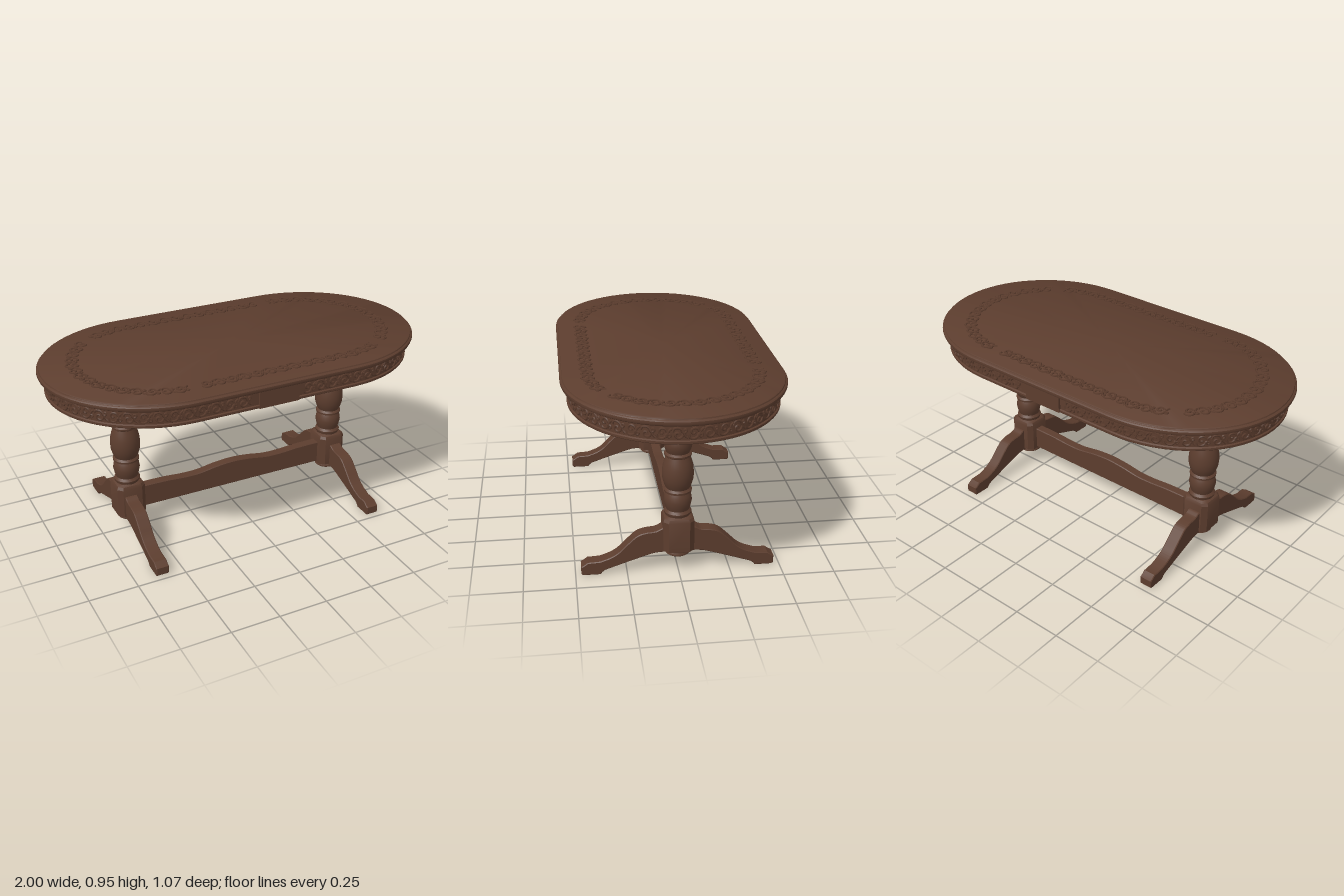
import * as THREE from 'three';
import { mergeGeometries, toCreasedNormals } from 'three/addons/utils/BufferGeometryUtils.js';

const wood = new THREE.MeshStandardMaterial({ color: 0x5c3d2e });
wood.name = 'brown wood';

function part(name, geometry, parent, x = 0, y = 0, z = 0) {
  const mesh = new THREE.Mesh(geometry, wood);
  mesh.name = name;
  mesh.position.set(x, y, z);
  parent.add(mesh);
  return mesh;
}

// Oval outline: straight sides with rounded ends, as [x, z] points
function oval(rx, rz, half = 0.42, n = 32) {
  const pts = [];
  for (const side of [1, -1]) {
    for (let i = 0; i <= n; i++) {
      const t = -Math.PI / 2 + (i / n) * Math.PI;
      pts.push([side * (half + rx * Math.cos(t)), side * rz * Math.sin(t)]);
    }
  }
  return pts;
}
const tableOval = (inset) => oval(0.58 - inset, 0.535 - inset);

// Square outline with cut corners
function cutSquare(h) {
  const c = h * 0.68;
  return [[h, -c], [h, c], [c, h], [-c, h], [-h, c], [-h, -c], [-c, -h], [c, -h]];
}

// Stacks outlines from bottom to top and closes both ends
function loft(profile, outline, crease = 0.5) {
  const rings = profile.map(([size, y]) => outline(size).map(([x, z]) => [x, y, z]));
  const n = rings[0].length, last = rings.length - 1, pos = [];
  const tri = (a, b, c) => pos.push(...a, ...b, ...c);
  for (let j = 0; j < n; j++) {
    const k = (j + 1) % n;
    for (let i = 0; i < last; i++) {
      const a = rings[i][j], b = rings[i][k], c = rings[i + 1][k], d = rings[i + 1][j];
      tri(a, d, b);
      tri(d, c, b);
    }
    tri([0, profile[0][1], 0], rings[0][j], rings[0][k]);
    tri([0, profile[last][1], 0], rings[last][k], rings[last][j]);
  }
  const g = new THREE.BufferGeometry();
  g.setAttribute('position', new THREE.Float32BufferAttribute(pos, 3));
  return toCreasedNormals(g, crease);
}

// Carved scroll strokes for one motif, as lists of [along, across]
function motif(flip, size) {
  const curl = (u, v, r, dir) => Array.from({ length: 9 }, (_, k) => {
    const a = k * 0.75, q = r * (1 - k / 10);
    return [u + dir * q * Math.cos(a), v + flip * q * Math.sin(a)];
  });
  const strokes = [
    curl(0.008, flip * 0.006, 0.022, -1),
    curl(-0.02, -flip * 0.014, 0.013, 1),
    [[-0.034, flip * 0.022], [-0.022, flip * 0.012], [-0.012, -flip * 0.012],
      [0.006, -flip * 0.026], [0.026, -flip * 0.022], [0.032, -flip * 0.008]],
  ];
  return strokes.map((s) => s.map(([u, v]) => [u, v * size]));
}

// Lays motifs along a closed path; upright carving stands on a vertical face
function carving(outline, y, count, size, upright, skip) {
  const path = new THREE.CatmullRomCurve3(
    outline.map(([x, z]) => new THREE.Vector3(x, y, z)), true);
  path.arcLengthDivisions = 600;
  const length = path.getLength(), up = new THREE.Vector3(0, 1, 0), tubes = [];
  for (let i = 0; i < count; i++) {
    const s = (i + 0.5) / count;
    if (skip(path.getPointAt(s), i)) continue;
    for (const stroke of motif(i % 2 ? 1 : -1, size)) {
      const pts = stroke.map(([u, v]) => {
        const at = (s + u / length + 1) % 1;
        const across = upright ? up : up.clone().cross(path.getTangentAt(at));
        return path.getPointAt(at).addScaledVector(across, v);
      });
      tubes.push(new THREE.TubeGeometry(new THREE.CatmullRomCurve3(pts), 12, 0.006, 4));
    }
  }
  return mergeGeometries(tubes);
}

function extrudeCentred(shape, depth) {
  const g = new THREE.ExtrudeGeometry(shape, {
    depth: depth - 0.008, bevelEnabled: true, bevelSize: 0.004, bevelThickness: 0.004,
    bevelOffset: -0.004, bevelSegments: 1, curveSegments: 24,
  });
  g.translate(0, 0, -(depth - 0.008) / 2);
  return toCreasedNormals(g, 0.5);
}

function makePedestal(name) {
  const g = new THREE.Group();
  g.name = name;

  // Turned column with bulbs and rings
  const turning = [[0.056, 0.285], [0.065, 0.3], [0.066, 0.31], [0.056, 0.322], [0.062, 0.34],
    [0.068, 0.37], [0.064, 0.395], [0.057, 0.41], [0.066, 0.415], [0.067, 0.425], [0.058, 0.435],
    [0.066, 0.452], [0.074, 0.48], [0.076, 0.51], [0.073, 0.545], [0.065, 0.575], [0.057, 0.597],
    [0.065, 0.603], [0.066, 0.612], [0.056, 0.62], [0.063, 0.637], [0.068, 0.66], [0.064, 0.69],
    [0.054, 0.708], [0.056, 0.714], [0.056, 0.735]];
  const lathe = (pts) => toCreasedNormals(
    new THREE.LatheGeometry(pts.map(([r, y]) => new THREE.Vector2(r, y)), 32), 0.7);
  part('turnedColumn', lathe(turning), g);
  part('columnFoot', lathe([[0, 0.08], [0.054, 0.08], [0.06, 0.085], [0.06, 0.094],
    [0.056, 0.1], [0.066, 0.104], [0.068, 0.116], [0, 0.116]]), g);

  // Blocks with cut corners above and below the turning
  part('upperBlock', loft([[0.054, 0.725], [0.064, 0.737], [0.075, 0.762], [0.075, 0.82]], cutSquare), g);
  part('lowerBlock', loft([[0.075, 0.115], [0.075, 0.272], [0.068, 0.286], [0.056, 0.294]], cutSquare), g);

  // Curved legs towards the front and the back
  const s = new THREE.Shape();
  s.moveTo(0.05, 0.104);
  s.lineTo(0.05, 0.237);
  s.splineThru([[0.08, 0.232], [0.11, 0.218], [0.16, 0.212], [0.2, 0.198], [0.245, 0.158], [0.29, 0.113],
    [0.33, 0.088], [0.38, 0.07]].map((p) => new THREE.Vector2(...p)));
  s.lineTo(0.44, 0.067);
  s.lineTo(0.458, 0.053);
  s.lineTo(0.472, 0.046);
  s.lineTo(0.472, 0.008);
  s.lineTo(0.464, 0);
  s.lineTo(0.38, 0);
  s.splineThru([[0.36, 0.02], [0.32, 0.035], [0.24, 0.062], [0.14, 0.094], [0.1, 0.102],
    [0.05, 0.104]].map((p) => new THREE.Vector2(...p)));
  const legGeometry = extrudeCentred(s, 0.066);
  part('frontLeg', legGeometry, g).rotation.y = -Math.PI / 2;
  part('backLeg', legGeometry, g).rotation.y = Math.PI / 2;
  return g;
}

export function createModel() {
  const table = new THREE.Group();
  table.name = 'ovalDiningTable';

  // Top with a moulded edge
  part('tableTop', loft([[0.03, 0.903], [0.012, 0.908], [0.003, 0.914], [0, 0.922], [0.001, 0.931],
    [0.006, 0.936], [0.01, 0.937], [0.012, 0.943], [0.017, 0.946]], tableOval, 0.6), table);

  // Apron with a lower lip, and plain panels at the middle of both sides
  part('apron', loft([[0.032, 0.816], [0.03, 0.819], [0.03, 0.829], [0.037, 0.833],
    [0.037, 0.897], [0.03, 0.905]], tableOval, 0.4), table);
  for (const side of [1, -1]) {
    part(side > 0 ? 'frontPanel' : 'backPanel',
      new THREE.BoxGeometry(0.212, 0.091, 0.02), table, 0, 0.8605, side * 0.499);
  }

  // Carved scrollwork on the top and around the apron
  part('topCarving', carving(oval(0.405, 0.405), 0.9465, 64, 1.15, false,
    (p, i) => i % 16 === 15), table);
  part('apronCarving', carving(tableOval(0.037), 0.866, 72, 0.95, true,
    (p) => Math.abs(p.x) < 0.14), table);

  // Two pedestals
  for (const side of [1, -1]) {
    const pedestal = makePedestal(side > 0 ? 'leftPedestal' : 'rightPedestal');
    pedestal.position.x = side * 0.6;
    if (side < 0) pedestal.rotation.y = Math.PI;
    for (const leg of pedestal.children.slice(-2)) leg.position.x = 0.01;
    table.add(pedestal);
  }

  // Stretcher with a wavy upper edge
  const s = new THREE.Shape();
  s.moveTo(-0.55, 0.12);
  s.lineTo(0.55, 0.12);
  s.lineTo(0.55, 0.242);
  s.splineThru([[0.4, 0.24], [0.29, 0.233], [0.2, 0.234], [0.1, 0.249], [0, 0.256], [-0.1, 0.249],
    [-0.2, 0.234], [-0.29, 0.233], [-0.4, 0.24], [-0.55, 0.242]].map((p) => new THREE.Vector2(...p)));
  part('stretcher', extrudeCentred(s, 0.05), table);
  return table;
}
